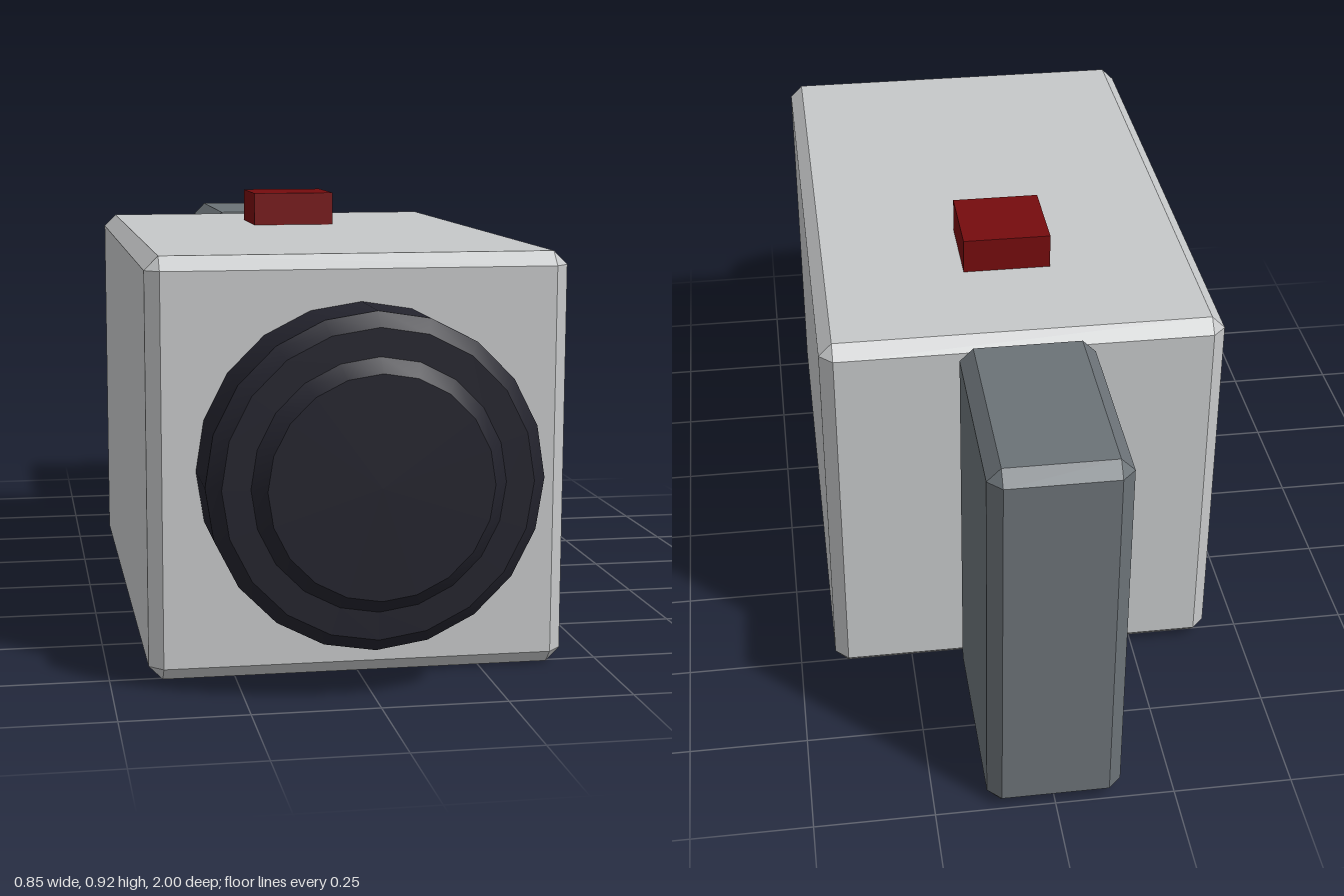
import * as THREE from 'three';
import { toCreasedNormals } from 'three/addons/utils/BufferGeometryUtils.js';
import { ConvexGeometry } from 'three/addons/geometries/ConvexGeometry.js';

const paint = (name, color) => Object.assign(new THREE.MeshStandardMaterial({ color }), { name });

// Box with every edge and corner cut off by c
function chamferBox(w, h, d, c) {
  const points = [];
  for (const x of [-1, 1]) for (const y of [-1, 1]) for (const z of [-1, 1])
    for (let axis = 0; axis < 3; axis++) {
      const inset = [0, 1, 2].map((i) => (i === axis ? 0 : c));
      points.push(new THREE.Vector3(x * (w / 2 - inset[0]), y * (h / 2 - inset[1]), z * (d / 2 - inset[2])));
    }
  return new ConvexGeometry(points);
}

export function createModel() {
  const model = new THREE.Group();
  const lightGrey = paint('lightGrey', 0xc6c8c9);
  const slateGrey = paint('slateGrey', 0x6b7277);
  const nearBlack = paint('nearBlack', 0x23232d);
  const darkRed = paint('darkRed', 0x760c0e);

  const add = (name, geometry, material, x, y, z) => {
    const mesh = new THREE.Mesh(geometry, material);
    mesh.name = name;
    mesh.position.set(x, y, z);
    model.add(mesh);
  };

  // Main housing and the slim upright block behind it
  add('body', chamferBox(0.845, 0.845, 1.315, 0.028), lightGrey, 0, 0.4225, 0.1275);
  add('rearGrip', chamferBox(0.28, 0.845, 0.47, 0.028), slateGrey, 0, 0.4225, -0.765);

  // Button on top
  add('button', new THREE.BoxGeometry(0.188, 0.085, 0.19), darkRed, 0, 0.8775, -0.155);

  // Stepped round lens, turned to face forwards
  const profile = [[0, 0], [0.328, 0], [0.328, 0.17], [0.3, 0.198], [0.245, 0.198], [0.217, 0.226], [0, 0.226]]
    .map(([r, y]) => new THREE.Vector2(r, y));
  const lens = new THREE.LatheGeometry(profile, 20);
  lens.rotateX(Math.PI / 2);
  add('lens', toCreasedNormals(lens, 0.6), nearBlack, 0, 0.425, 0.774);

  return model;
}
